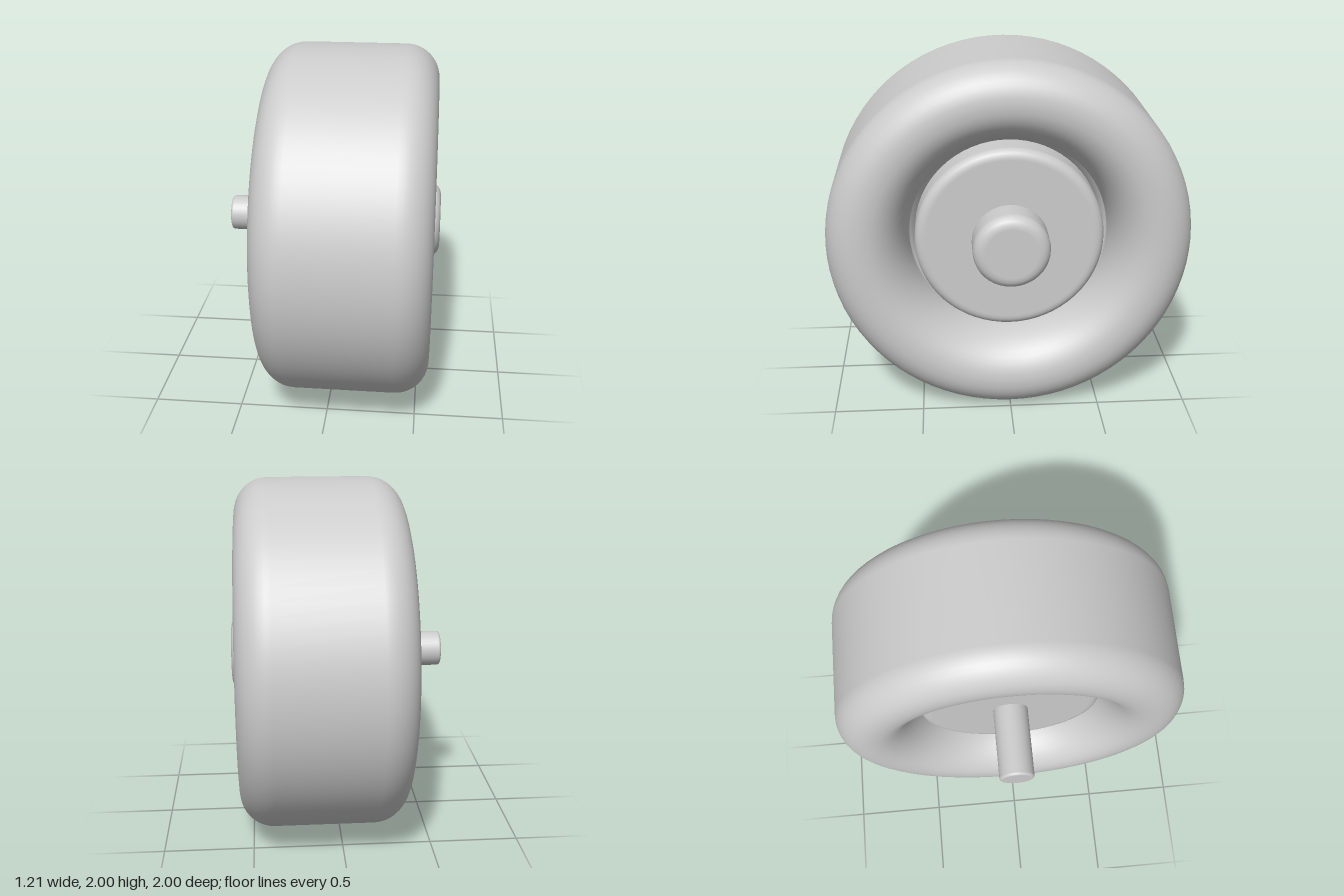
import * as THREE from 'three';

const grey = new THREE.MeshStandardMaterial({ color: 0xcccccc });
grey.name = 'plain grey';

// Quarter arc in (radius, x) space: from angle a to b, semi-axes rr (radial) and rx (axial)
function arc(cr, cx, rr, rx, a, b, n = 8) {
  return Array.from({ length: n + 1 }, (_, i) => {
    const t = a + (b - a) * i / n;
    return new THREE.Vector2(cr + rr * Math.cos(t), cx + rx * Math.sin(t));
  });
}

// Turn a profile around the x axis
function turned(name, points, segments = 64) {
  const geometry = new THREE.LatheGeometry(points, segments);
  geometry.rotateZ(-Math.PI / 2);
  const mesh = new THREE.Mesh(geometry, grey);
  mesh.name = name;
  return mesh;
}

// Solid disc or pin between x0 and x1 with rounded rims
function roundedDisc(name, radius, x0, x1, round0, round1, segments) {
  const H = Math.PI / 2;
  return turned(name, [
    new THREE.Vector2(0, x0),
    new THREE.Vector2(radius - round0 - 0.01, x0),
    ...arc(radius - round0, x0 + round0, round0, round0, -H, 0, 5),
    ...arc(radius - round1, x1 - round1, round1, round1, 0, H, 5),
    new THREE.Vector2(radius - round1 - 0.01, x1),
    new THREE.Vector2(0, x1),
  ], segments);
}

export function createModel() {
  const model = new THREE.Group();
  model.name = 'wheel';
  const wheel = new THREE.Group();
  wheel.name = 'wheelAssembly';
  wheel.position.y = 1;
  model.add(wheel);

  // Tyre: half section (outer shoulder, side wall, dished inner wall, bead), mirrored about its middle
  const H = Math.PI / 2;
  const half = [
    ...arc(0.81, 0.28, 0.19, 0.19, 0, H, 10),
    ...arc(0.79, 0.15, 0.24, 0.32, H, Math.PI, 12),
    new THREE.Vector2(0.5, 0.13),
  ];
  const mirrored = half.map(p => new THREE.Vector2(p.x, -p.y)).reverse();
  const tyre = turned('tyre', [...mirrored, ...half, mirrored[0].clone()], 80);
  tyre.position.x = 0.1;
  wheel.add(tyre);

  // Rim disc, outer hub cap and inner axle
  wheel.add(roundedDisc('rimDisc', 0.52, -0.19, 0.42, 0.06, 0.05, 64));
  wheel.add(roundedDisc('hubCap', 0.21, 0.3, 0.605, 0.03, 0.06, 40));
  wheel.add(roundedDisc('axle', 0.1, -0.605, 0, 0.015, 0.01, 32));

  return model;
}
